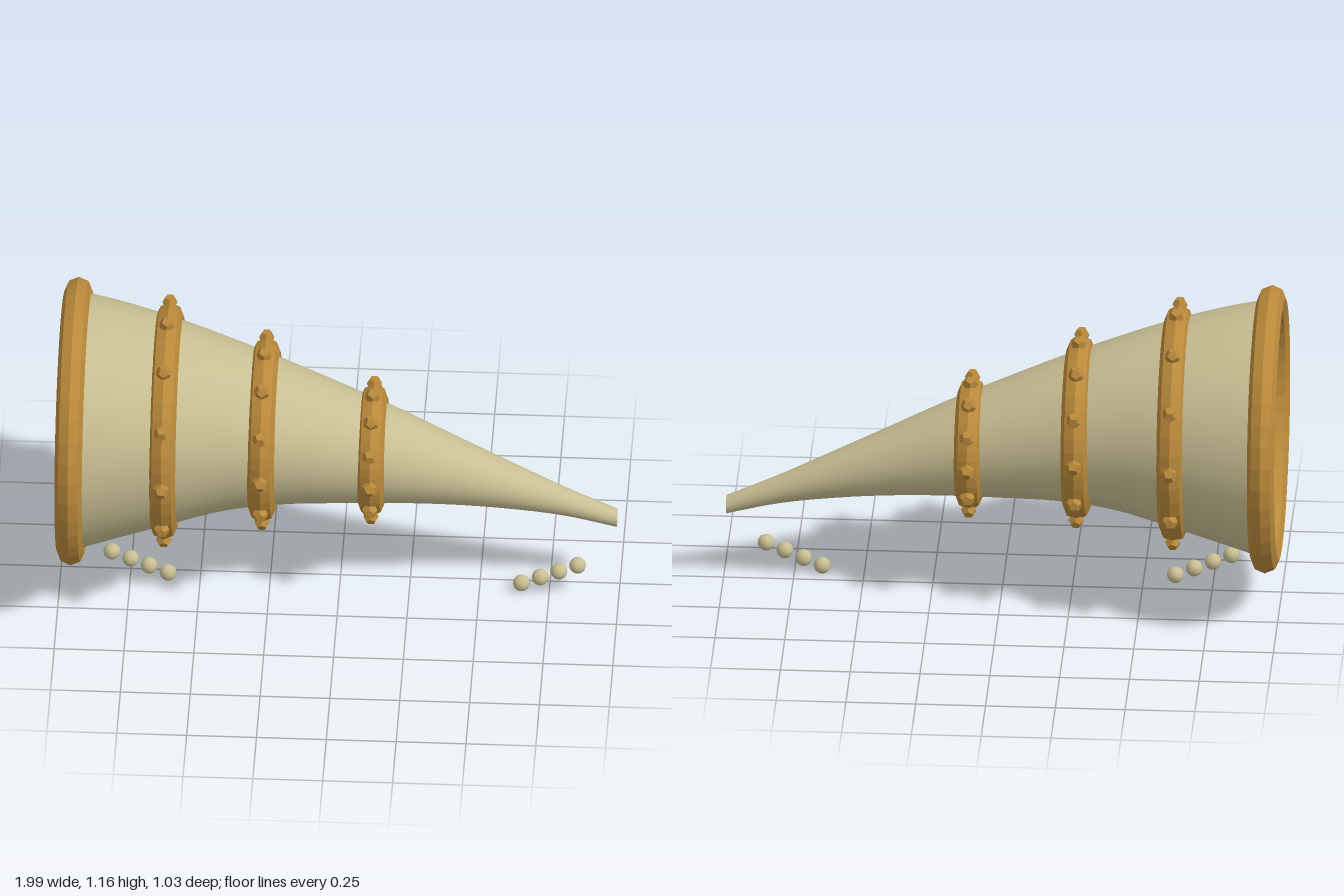
import * as THREE from 'three';

export function createModel() {
  const model = new THREE.Group();
  model.name = 'bandedHorn';
  const ivory = new THREE.MeshStandardMaterial({ color: 0xc8be92, side: THREE.DoubleSide });
  ivory.name = 'ivory';
  const brass = new THREE.MeshStandardMaterial({ color: 0xb9893a, flatShading: true });
  brass.name = 'brass';

  const add = (name, geometry, material, parent = model) => {
    const mesh = new THREE.Mesh(geometry, material);
    mesh.name = name;
    parent.add(mesh);
    return mesh;
  };

  // Horn: each section is (x, centre height, radius), drooping to the tip
  const sections = new THREE.CatmullRomCurve3([
    [-0.96, 0.65, 0.468], [-0.8, 0.66, 0.427], [-0.6, 0.663, 0.37], [-0.4, 0.656, 0.309],
    [-0.2, 0.628, 0.259], [0, 0.586, 0.215], [0.2, 0.54, 0.171], [0.4, 0.485, 0.126],
    [0.6, 0.425, 0.086], [0.8, 0.36, 0.052], [0.99, 0.293, 0.033],
  ].map(p => new THREE.Vector3(...p)));
  const sides = 32, steps = 40;
  const positions = [], indices = [];
  for (let i = 0; i <= steps; i++) {
    const s = sections.getPoint(i / steps);
    for (let j = 0; j < sides; j++) {
      const a = (j / sides) * Math.PI * 2;
      positions.push(s.x, s.y + s.z * Math.cos(a), s.z * Math.sin(a));
      if (i === steps) continue;
      const p = i * sides + j, q = i * sides + (j + 1) % sides;
      indices.push(p, p + sides, q, q, p + sides, q + sides);
    }
  }
  const horn = new THREE.BufferGeometry();
  horn.setAttribute('position', new THREE.Float32BufferAttribute(positions, 3));
  // Reverse the winding so that the outside is the front
  for (let k = 0; k < indices.length; k += 3) {
    [indices[k + 1], indices[k + 2]] = [indices[k + 2], indices[k + 1]];
  }
  horn.setIndex(indices);
  horn.computeVertexNormals();
  add('horn', horn, ivory);

  // Tip: a shallow dent closing the narrow end
  const tip = add('tipCap', new THREE.ConeGeometry(0.033, 0.02, 12, 1, true), ivory);
  tip.rotation.z = Math.PI / 2;
  tip.position.set(0.98, 0.293, 0);

  // Bands: faceted rings, with twelve studs on all but the rim
  const bands = [
    ['rim', -0.952, 0.648, 0.467, 0],
    ['wideBand', -0.622, 0.661, 0.375, 12],
    ['middleBand', -0.273, 0.635, 0.281, 12],
    ['narrowBand', 0.115, 0.56, 0.187, 12],
  ];
  const stud = new THREE.DodecahedronGeometry(0.029);
  for (const [name, x, y, radius, studs] of bands) {
    const band = new THREE.Group();
    band.name = name;
    band.position.set(x, y, 0);
    model.add(band);
    const ring = new THREE.TorusGeometry(radius, 0.049, 8, 40);
    ring.rotateY(Math.PI / 2);
    add(name + 'Ring', ring, brass, band);
    for (let i = 0; i < studs; i++) {
      const a = (i / studs) * Math.PI * 2;
      const r = radius + 0.052;
      const mesh = add(name + 'Stud', stud, brass, band);
      mesh.position.set(0, r * Math.cos(a), r * Math.sin(a));
      mesh.rotation.x = a;
    }
  }

  // Beads: two short strings rising outward below the horn
  const bead = new THREE.SphereGeometry(0.03, 16, 12);
  for (const [name, start, step] of [['wideEndBead', -0.615, -0.067], ['tipBead', 0.65, 0.067]]) {
    for (let i = 0; i < 4; i++) {
      add(name, bead, ivory).position.set(start + step * i, 0.033 + 0.0285 * i, 0.057);
    }
  }
  return model;
}
